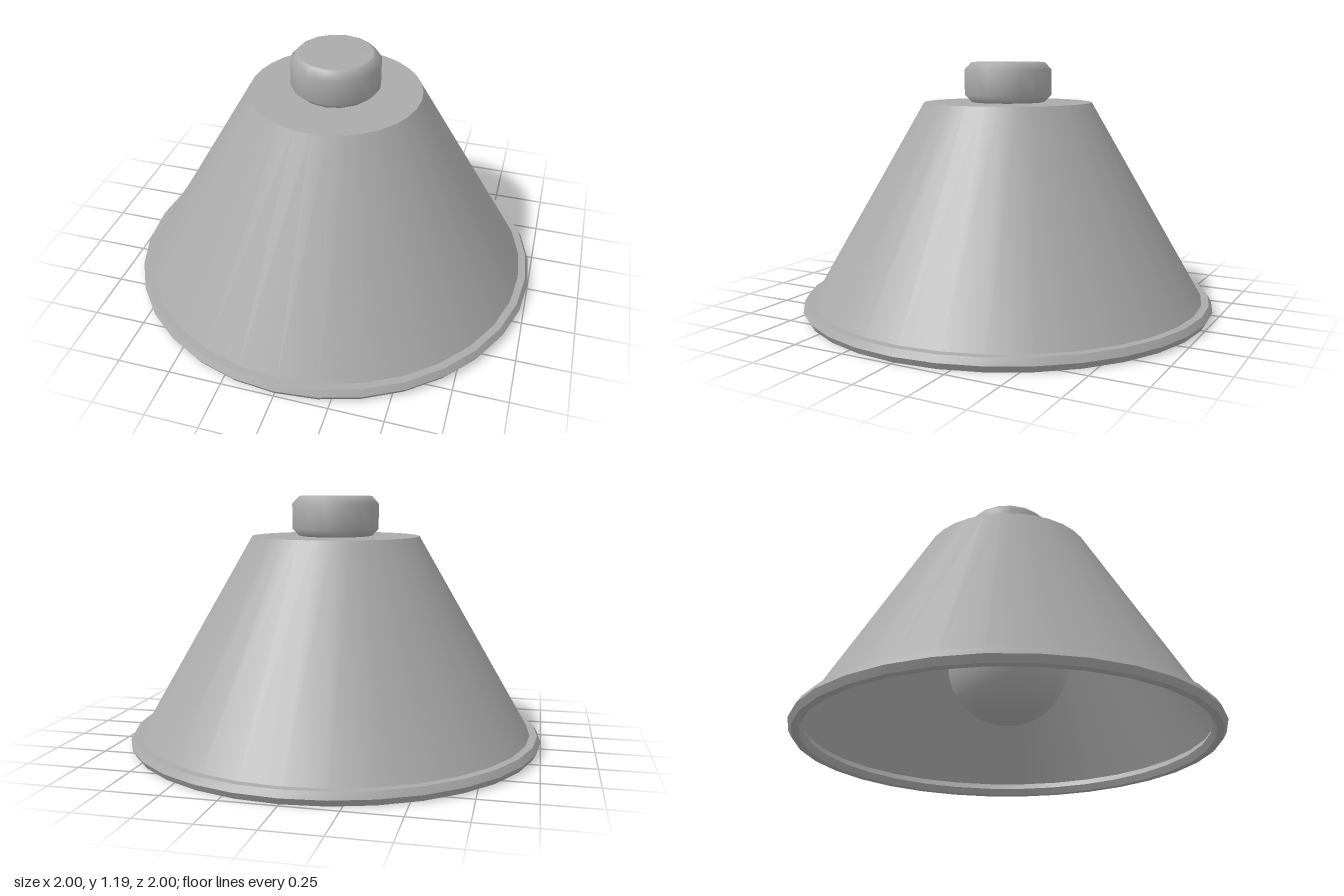
import * as THREE from 'three';
import { toCreasedNormals } from 'three/addons/utils/BufferGeometryUtils.js';

export function createModel() {
  const model = new THREE.Group();
  model.name = 'lamp';
  const grey = new THREE.MeshStandardMaterial({ color: 0xaaaaaa });
  grey.name = 'grey';
  const greySheet = new THREE.MeshStandardMaterial({ color: 0xaaaaaa, side: THREE.DoubleSide });
  greySheet.name = 'grey';

  const add = (name, geometry, y, material = grey) => {
    const mesh = new THREE.Mesh(geometry, material);
    mesh.name = name;
    mesh.position.y = y;
    model.add(mesh);
  };

  // Conical shade, open underneath, with a flat top
  const bottom = 0.03, top = 1;
  add('shade', new THREE.CylinderGeometry(0.405, 0.965, top - bottom, 32, 1, true),
    (top + bottom) / 2, greySheet);
  add('shadeTop', new THREE.CircleGeometry(0.405, 32).rotateX(-Math.PI / 2), top, greySheet);

  // Six-sided rim bead around the lower edge
  const rim = new THREE.TorusGeometry(0.965, 0.035, 6, 32).rotateX(Math.PI / 2);
  add('rim', toCreasedNormals(rim, 0.7), bottom);

  // Knob with softened edges
  const knob = [[0, 0], [0.17, 0], [0.18, 0.003], [0.211, 0.035], [0.211, 0.155],
    [0.18, 0.189], [0.17, 0.192], [0, 0.192]].map(([r, y]) => new THREE.Vector2(r, y));
  add('knob', new THREE.LatheGeometry(knob, 16), top);

  // Bulb hanging from a slim socket
  add('socket', new THREE.CylinderGeometry(0.08, 0.08, 0.38, 16), 0.81);
  add('bulb', new THREE.SphereGeometry(0.287, 32, 24), 0.39);

  return model;
}
